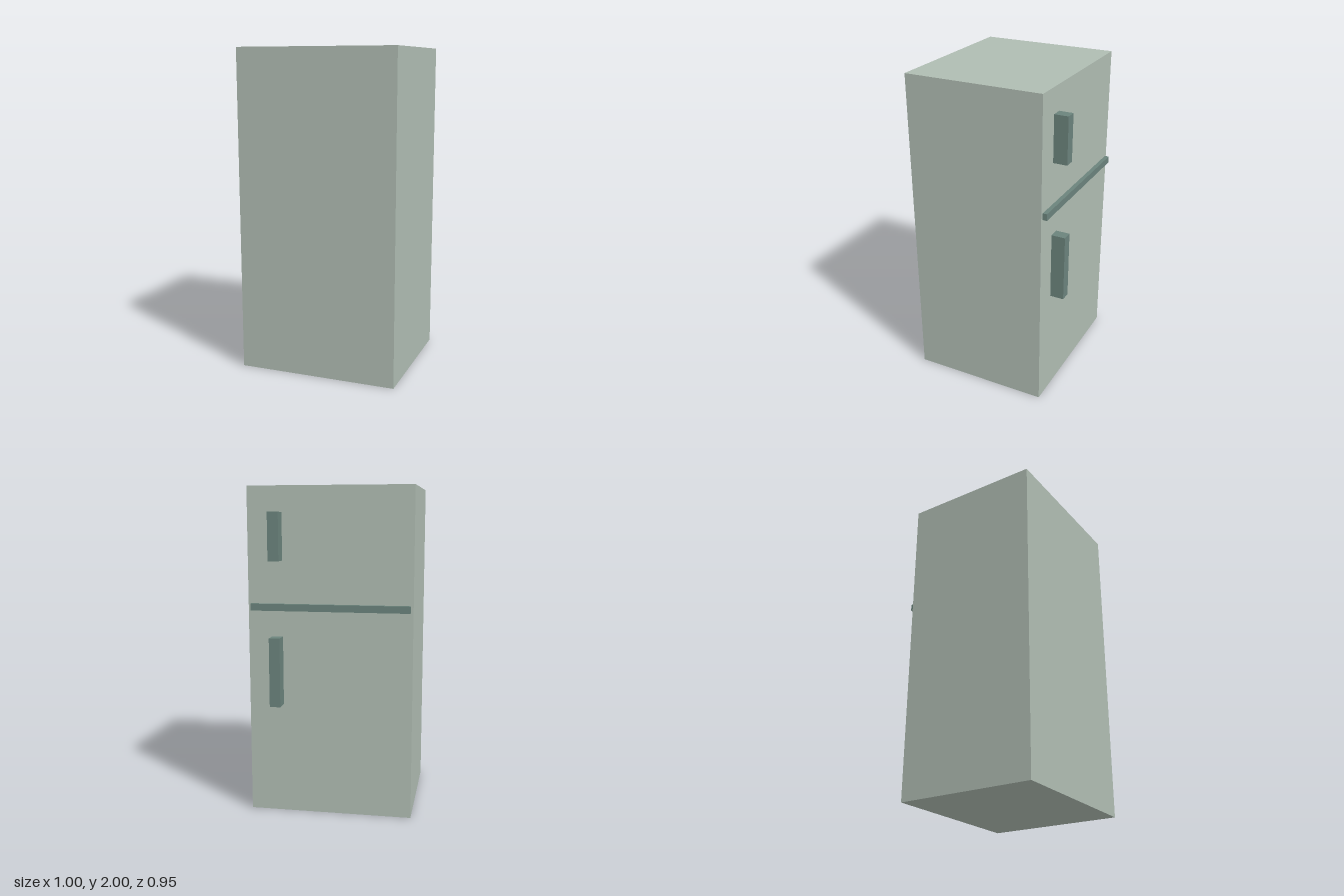
import * as THREE from 'three';

export function createModel() {
  const group = new THREE.Group();
  const enamel = new THREE.MeshStandardMaterial({ name: 'paleGreenEnamel', color: 0xafbcb2 });
  const trim = new THREE.MeshStandardMaterial({ name: 'darkGreenTrim', color: 0x6b837c });

  // Adds a box given by its lower and upper corners
  function box(name, material, [x0, y0, z0], [x1, y1, z1]) {
    const mesh = new THREE.Mesh(new THREE.BoxGeometry(x1 - x0, y1 - y0, z1 - z0), material);
    mesh.position.set((x0 + x1) / 2, (y0 + y1) / 2, (z0 + z1) / 2);
    mesh.name = name;
    group.add(mesh);
  }

  // Cabinet; the doors are on the -z side
  const doorZ = -0.39;
  box('cabinet', enamel, [-0.5, 0, doorZ], [0.5, 2, 0.476]);

  // Strip between the freezer and fridge doors
  box('doorDivider', trim, [-0.484, 1.26, -0.417], [0.482, 1.302, doorZ]);

  // Door handles
  box('freezerHandle', trim, [0.288, 1.56, -0.476], [0.354, 1.846, doorZ]);
  box('fridgeHandle', trim, [0.288, 0.682, -0.476], [0.354, 1.102, doorZ]);

  return group;
}
